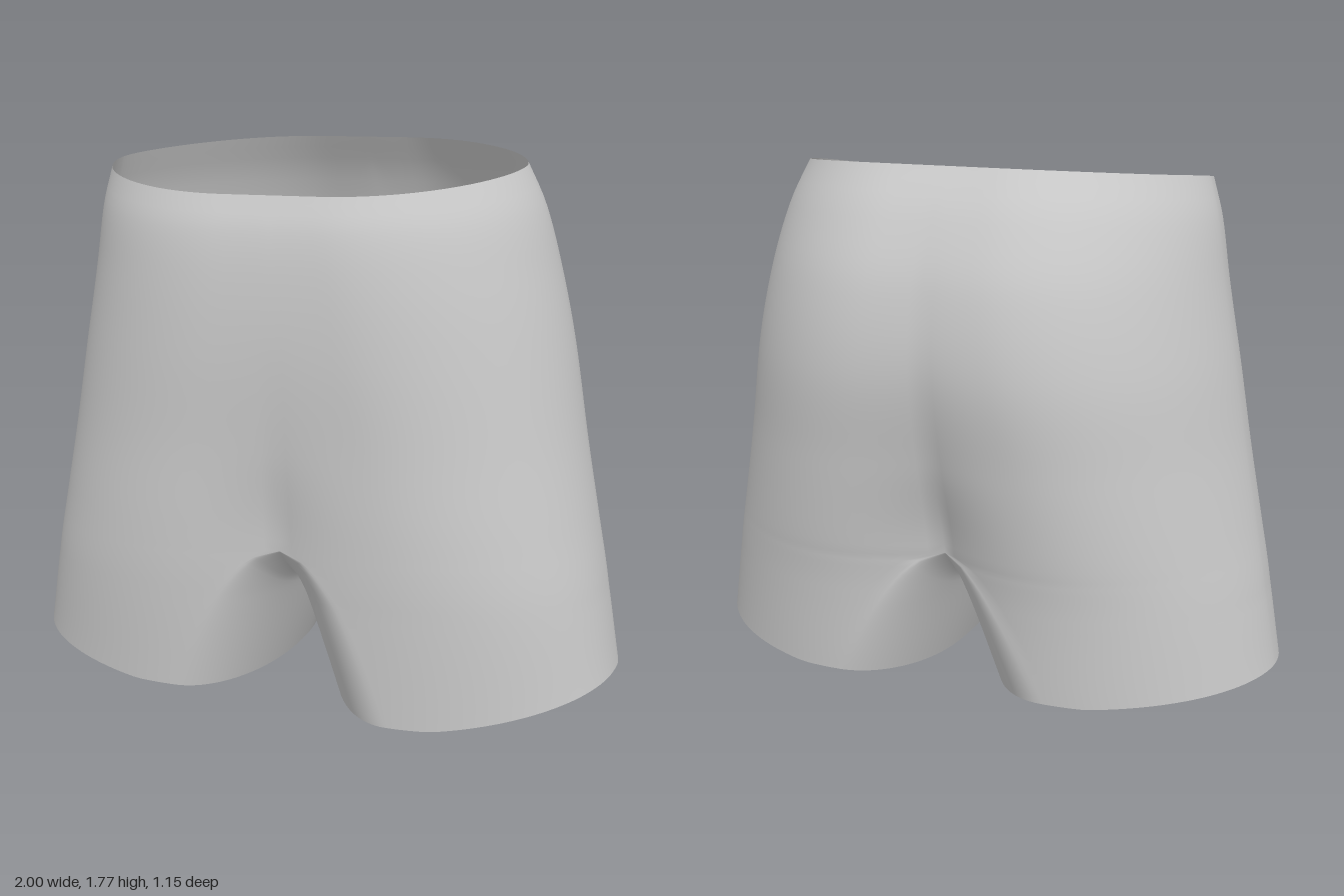
import * as THREE from 'three';
import { mergeVertices } from 'three/addons/utils/BufferGeometryUtils.js';

const HEM = 0.07, SPLIT = 0.53, WAIST = 1.7, CROTCH = 0.385;

// Cross-sections: height, half width, front z, back z, widest z,
// fullest x, front taper, back taper, front crease, back crease
const SECTIONS = [
  [0.07, 1.0, 0.53, -0.445, 0.07, 0.37, 0.88, 1.15, 0.06, 0.12],
  [0.4, 0.955, 0.555, -0.475, 0.06, 0.36, 0.9, 1.2, 0.06, 0.12],
  [0.6, 0.92, 0.562, -0.505, 0.06, 0.34, 0.95, 1.25, 0.05, 0.11],
  [0.85, 0.875, 0.566, -0.54, 0.06, 0.29, 0.98, 1.25, 0.015, 0.055],
  [1.15, 0.825, 0.576, -0.575, 0.06, 0.22, 1.0, 1.2, 0.002, 0.02],
  [1.4, 0.775, 0.57, -0.55, 0.07, 0.18, 1.0, 1.2, 0, 0.008],
  [1.58, 0.735, 0.55, -0.475, 0.09, 0.16, 1.0, 1.25, 0, 0],
  [1.7, 0.69, 0.515, -0.395, 0.11, 0.15, 1.0, 1.3, 0, 0],
];

function sectionAt(y) {
  let k = 0;
  while (k < SECTIONS.length - 2 && y > SECTIONS[k + 1][0]) k++;
  const at = (i) => SECTIONS[Math.min(Math.max(i, 0), SECTIONS.length - 1)];
  const t = THREE.MathUtils.clamp((y - at(k)[0]) / (at(k + 1)[0] - at(k)[0]), 0, 1);
  // smooth through the rows, with slopes scaled to their spacing
  return at(k).map((v, c) => {
    const slope = (i) => (at(i + 1)[c] - at(i - 1)[c]) / (at(i + 1)[0] - at(i - 1)[0]);
    const h = at(k + 1)[0] - at(k)[0], t2 = t * t, t3 = t2 * t;
    return v * (2 * t3 - 3 * t2 + 1) + slope(k) * h * (t3 - 2 * t2 + t)
      + at(k + 1)[c] * (3 * t2 - 2 * t3) + slope(k + 1) * h * (t3 - t2);
  });
}

// Tilt the waistband and curve the leg openings
function finish(x, y, z, side) {
  const top = Math.max(0, (y - 1.2) / (WAIST - 1.2)) ** 2;
  const low = Math.max(0, 1 - (y - HEM) / 0.3);
  const waistY = 1.73 - 0.1 * z - (z > 0 ? 0.15 : -0.02) * z * z;
  const dip = side > 0 ? 0.07 : 0.025;
  const hemLift = 0.055 * Math.max(0, (x - 0.5) / 0.5)
    + (z > 0 ? -dip * (z / 0.53) ** 2 : 0.02 * (z / 0.44) ** 2);
  return [side * x - 0.02 * top, y + top * (waistY - WAIST) + low * hemLift, z];
}

// Outer skin, swept from the front seam round the hip to the back seam
function outerPoint(y, a) {
  const [, w, front, back, mid, full, taperF, taperB, creaseF, creaseB] = sectionAt(y);
  const edge = 0.36 * Math.sqrt(Math.max(0, 1 - (y - HEM) / (SPLIT - HEM)));
  const x = edge + (w - edge) * Math.sin(a);
  const u = Math.max(0, (x - full) / (w - full));
  const reach = Math.sqrt(Math.max(0, 1 - u * u));
  const crease = Math.max(0, 1 - x / full) ** 2;
  const z = a < Math.PI / 2
    ? mid + (front - mid) * reach ** taperF - creaseF * crease
    : mid + (back - mid) * reach ** taperB + creaseB * crease;
  return [x, y, z];
}

// Inner thigh, from the leg opening up to the arched crotch seam
function innerPoint(s, b) {
  const c = Math.cos(b), reach = Math.abs(c) ** 0.9, mid = 0.06;
  const ySide = HEM + (SPLIT - HEM) * s;
  const end = outerPoint(ySide, c > 0 ? 0 : Math.PI);
  const inner = 0.092 * (1 - s) ** 1.1;
  const x = end[0] - (end[0] - inner) * Math.sin(b);
  const seamY = CROTCH + (SPLIT - CROTCH) * Math.abs(c) ** 3;
  return [x, HEM + (seamY - HEM) * s, mid + (end[2] - mid) * reach];
}

function addPatch(pos, idx, rows, cols, point, side, flip) {
  const base = pos.length / 3;
  for (let i = 0; i <= rows; i++)
    for (let j = 0; j <= cols; j++)
      pos.push(...finish(...point(i, (j / cols) * Math.PI), side));
  for (let i = 0; i < rows; i++)
    for (let j = 0; j < cols; j++) {
      const a = base + i * (cols + 1) + j, b = a + 1, d = a + cols + 1, c = d + 1;
      if (flip) idx.push(a, c, b, a, d, c);
      else idx.push(a, b, c, a, c, d);
    }
}

export function createModel() {
  const fabric = new THREE.MeshStandardMaterial({ color: 0xcccccc, side: THREE.DoubleSide });
  fabric.name = 'grey fabric';

  const pos = [], idx = [];
  const lowRows = 20, highRows = 36;
  const rowY = (i) => i <= lowRows
    ? HEM + (SPLIT - HEM) * (i / lowRows)
    : SPLIT + (WAIST - SPLIT) * ((i - lowRows) / highRows);

  for (const side of [1, -1]) {
    addPatch(pos, idx, lowRows + highRows, 64, (i, a) => outerPoint(rowY(i), a), side, side < 0);
    addPatch(pos, idx, lowRows, 40, (i, b) => innerPoint(i / lowRows, b), side, side > 0);
  }

  // Weld the patches so the cloth shades as one smooth skin
  let cloth = new THREE.BufferGeometry();
  cloth.setAttribute('position', new THREE.Float32BufferAttribute(pos, 3));
  cloth.setIndex(idx);
  cloth = mergeVertices(cloth, 1e-4);
  cloth.computeVertexNormals();

  const shorts = new THREE.Mesh(cloth, fabric);
  shorts.name = 'shorts';
  const group = new THREE.Group();
  group.name = 'shortsModel';
  group.add(shorts);
  return group;
}
